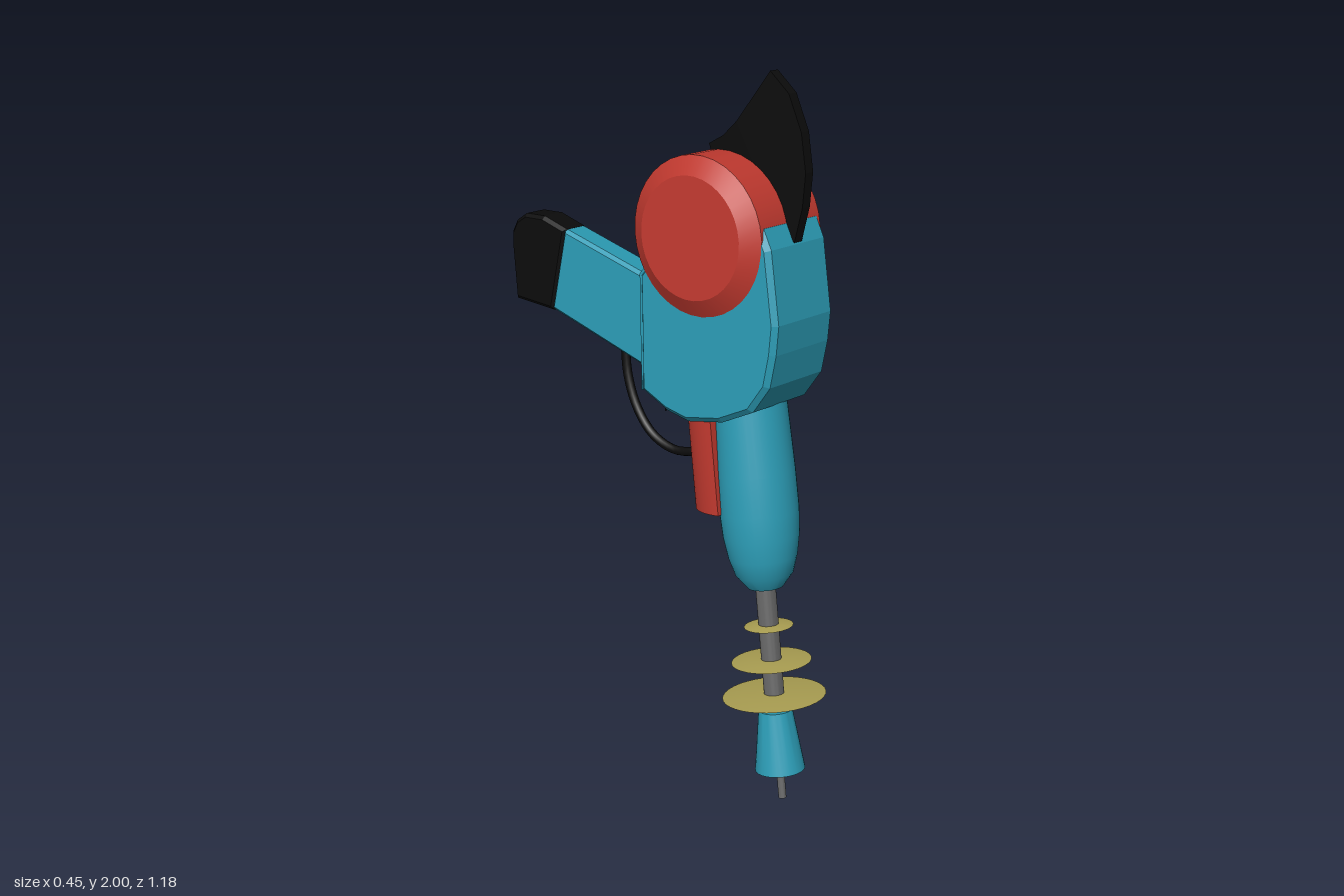
import * as THREE from 'three';
import { toCreasedNormals } from 'three/addons/utils/BufferGeometryUtils.js';
import { ConvexGeometry } from 'three/addons/geometries/ConvexGeometry.js';

const paint = (color) => new THREE.MeshStandardMaterial({ color });
const teal = paint(0x2b9ab3), red = paint(0xc0392f), black = paint(0x0b0b0b);
const grey = paint(0x666666), yellow = paint(0xb0a455);

const LEAN = 0.107;   // sideways lean of the whole gun
const RAKE = 0.205;   // forward rake of the barrel
const K = 1 / Math.cos(LEAN);

function add(parent, name, geometry, material) {
  const mesh = new THREE.Mesh(geometry, material);
  mesh.name = name;
  parent.add(mesh);
  return mesh;
}

// Side profile given as [backward, up], extruded symmetrically across x
function plate(points, halfWidth, bevel) {
  const shape = new THREE.Shape(points.map(([h, y]) => new THREE.Vector2(h, y * K)));
  const depth = 2 * (halfWidth - bevel);
  const geometry = new THREE.ExtrudeGeometry(shape, {
    depth, bevelEnabled: bevel > 0, bevelSize: bevel, bevelThickness: bevel,
    bevelOffset: -bevel, bevelSegments: 1,
  });
  return geometry.translate(0, 0, -depth / 2).rotateY(Math.PI / 2);
}

// Turned part from [radius, height] pairs, bottom to top
function turned(points, crease = 0.5) {
  const profile = points.map(([r, y]) => new THREE.Vector2(r, y));
  return toCreasedNormals(new THREE.LatheGeometry(profile, 36), crease);
}

export function createModel() {
  const model = new THREE.Group();
  model.name = 'toyRayGun';
  const gun = new THREE.Group();
  gun.name = 'gun';
  gun.position.x = -0.12;
  gun.rotation.z = -LEAN;
  model.add(gun);

  // Main body
  add(gun, 'body', plate([
    [-0.36, 1.62], [-0.39, 1.57], [-0.435, 1.38], [-0.435, 1.3], [-0.425, 1.21],
    [-0.377, 1.13], [-0.28, 1.075], [-0.165, 1.045], [-0.09, 1.055], [0, 1.09],
    [0.035, 1.41], [-0.02, 1.49], [-0.15, 1.62],
  ], 0.126, 0.014), teal);

  // Tapered neck between body and handle
  const neck = [];
  for (const side of [-1, 1]) {
    for (const [w, h, y] of [[0.122, -0.02, 1.49], [0.122, 0.033, 1.41], [0.122, -0.002, 1.09],
      [0.046, 0.075, 1.372], [0.046, 0.032, 1.115]]) {
      neck.push(new THREE.Vector3(side * w, y * K, -h));
    }
  }
  add(gun, 'neck', new ConvexGeometry(neck), teal);

  // Handle and its cap
  add(gun, 'handle', plate([
    [0.0, 1.365], [0.39, 1.441], [0.42, 1.2], [0.0, 1.108],
  ], 0.043, 0.01), teal);
  add(gun, 'handleCap', plate([
    [0.382, 1.44], [0.47, 1.459], [0.54, 1.452], [0.575, 1.425], [0.59, 1.39],
    [0.588, 1.35], [0.56, 1.197], [0.412, 1.197],
  ], 0.045, 0.01), black);

  // Round side drum
  const drum = add(gun, 'drum', turned([
    [0, -0.156], [0.165, -0.156], [0.215, -0.125], [0.215, 0.125], [0.165, 0.156], [0, 0.156],
  ]), red);
  drum.rotation.z = -Math.PI / 2;
  drum.position.set(0, 1.555 * K, 0.155);

  // Rear sight fin
  add(gun, 'fin', plate([
    [-0.39, 1.575], [-0.405, 1.67], [-0.405, 1.76], [-0.38, 1.86], [-0.33, 1.95], [-0.265, 1.997],
    [-0.235, 1.95], [-0.17, 1.85], [-0.13, 1.805], [-0.085, 1.775], [-0.15, 1.65], [-0.34, 1.6],
  ], 0.016, 0), black);

  // Trigger and guard
  add(gun, 'trigger', plate([
    [-0.1, 1.09], [-0.085, 1.045], [-0.045, 1.035], [-0.01, 1.01], [-0.012, 1.1],
  ], 0.025, 0), black);
  const guardPath = new THREE.CatmullRomCurve3([
    [-0.11, 0.912], [-0.03, 0.897], [0.05, 0.92], [0.115, 0.985], [0.155, 1.07], [0.172, 1.16],
  ].map(([h, y]) => new THREE.Vector3(0, y * K, -h)));
  add(gun, 'triggerGuard', new THREE.TubeGeometry(guardPath, 20, 0.013, 8), black);

  // Barrel assembly, built upright from the muzzle tip
  const barrel = new THREE.Group();
  barrel.name = 'barrel';
  barrel.position.z = 0.515;
  barrel.rotation.x = -RAKE;
  gun.add(barrel);

  add(barrel, 'sleeve', turned([
    [0, 0.622], [0.05, 0.622], [0.08, 0.66], [0.095, 0.71], [0.105, 0.77], [0.109, 0.84],
    [0.107, 0.95], [0.094, 1.25], [0, 1.25],
  ], 0.45), teal);
  add(barrel, 'rod', turned([[0, 0.2], [0.028, 0.2], [0.028, 0.65], [0, 0.65]]), grey);
  add(barrel, 'nozzle', turned([[0, 0.09], [0.07, 0.09], [0.047, 0.265], [0, 0.265]]), teal);
  add(barrel, 'tip', turned([[0, 0.003], [0.011, 0.003], [0.011, 0.12], [0, 0.12]]), grey);

  // Thin cooling rings
  for (const [t, r] of [[0.307, 0.144], [0.407, 0.111], [0.508, 0.068]]) {
    add(barrel, 'coolingRing', turned([
      [0, t - 0.006], [r * 0.6, t - 0.005], [r, t], [r * 0.6, t + 0.005], [0, t + 0.006],
    ]), yellow);
  }

  // Half-round cartridge behind the barrel
  const half = new THREE.Shape();
  half.absellipse(0, 0, 0.104, 0.14, 0, Math.PI, false, 0);
  half.closePath();
  const cartridge = toCreasedNormals(new THREE.ExtrudeGeometry(half, {
    depth: 0.3, bevelEnabled: false, curveSegments: 12,
  }).rotateX(-Math.PI / 2), 0.5);
  add(barrel, 'cartridge', cartridge, red).position.set(0, 0.84, -0.06);

  return model;
}
